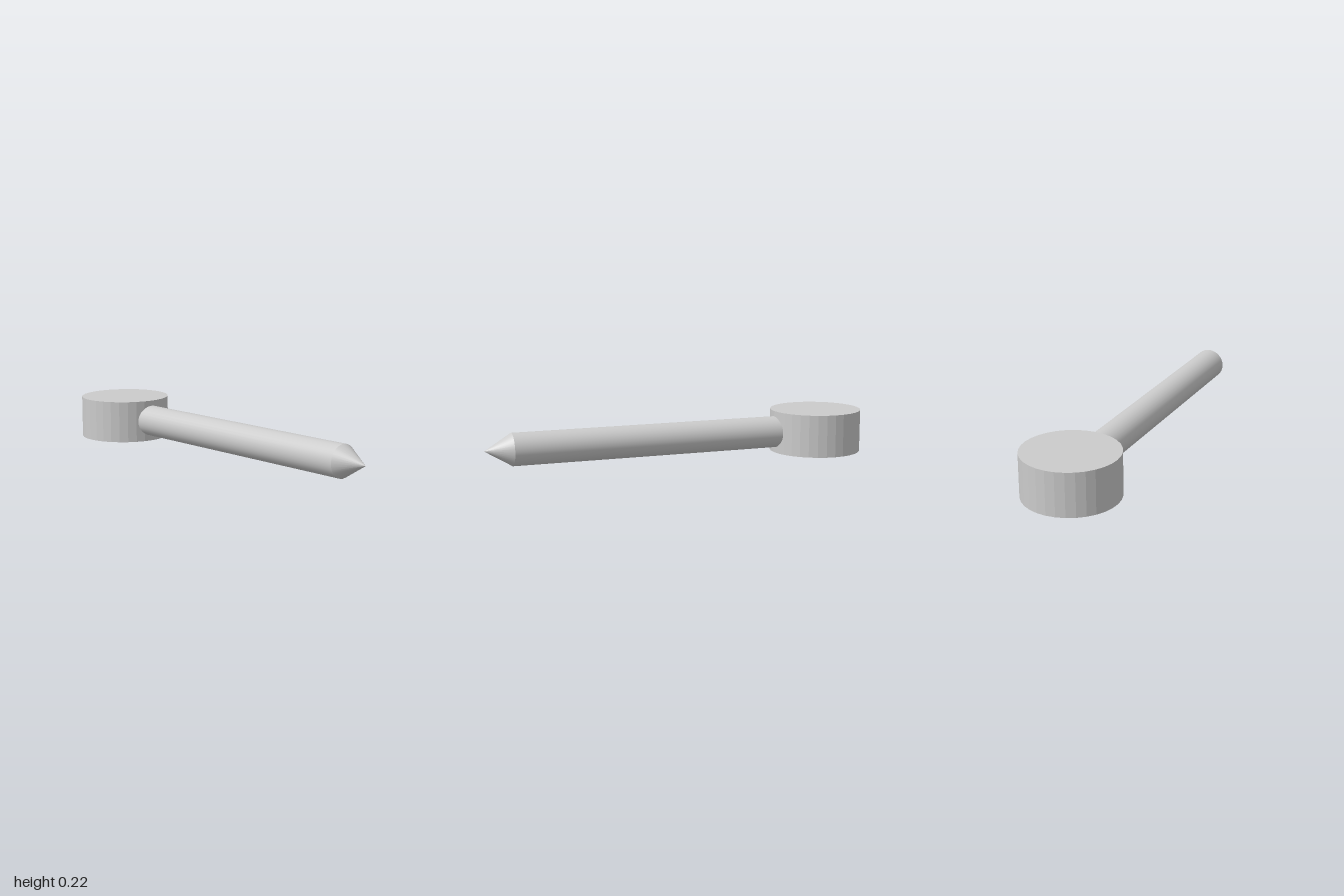
import * as THREE from 'three';

export function createModel() {
  const model = new THREE.Group();
  const smooth = new THREE.MeshStandardMaterial({ color: 0xcccccc });
  const faceted = new THREE.MeshStandardMaterial({ color: 0xcccccc, flatShading: true });

  const headX = -0.763, axisY = 0.109;
  const rodRadius = 0.081, shoulderX = 0.865, tipX = 1;

  function add(name, geometry, material, x) {
    const mesh = new THREE.Mesh(geometry, material);
    mesh.name = name;
    mesh.position.set(x, axisY, 0);
    model.add(mesh);
    return mesh;
  }

  // Upright faceted drum
  add('head', new THREE.CylinderGeometry(0.237, 0.237, 2 * axisY, 32), faceted, headX);

  // Round rod running out of the drum along +x
  const rodLength = shoulderX - headX;
  const rod = new THREE.CylinderGeometry(rodRadius, rodRadius, rodLength, 32, 1, false);
  add('rod', rod.rotateZ(-Math.PI / 2), smooth, headX + rodLength / 2);

  // Pointed end
  const tipLength = tipX - shoulderX;
  const tip = new THREE.ConeGeometry(rodRadius, tipLength, 32);
  add('tip', tip.rotateZ(-Math.PI / 2), smooth, shoulderX + tipLength / 2);

  return model;
}
